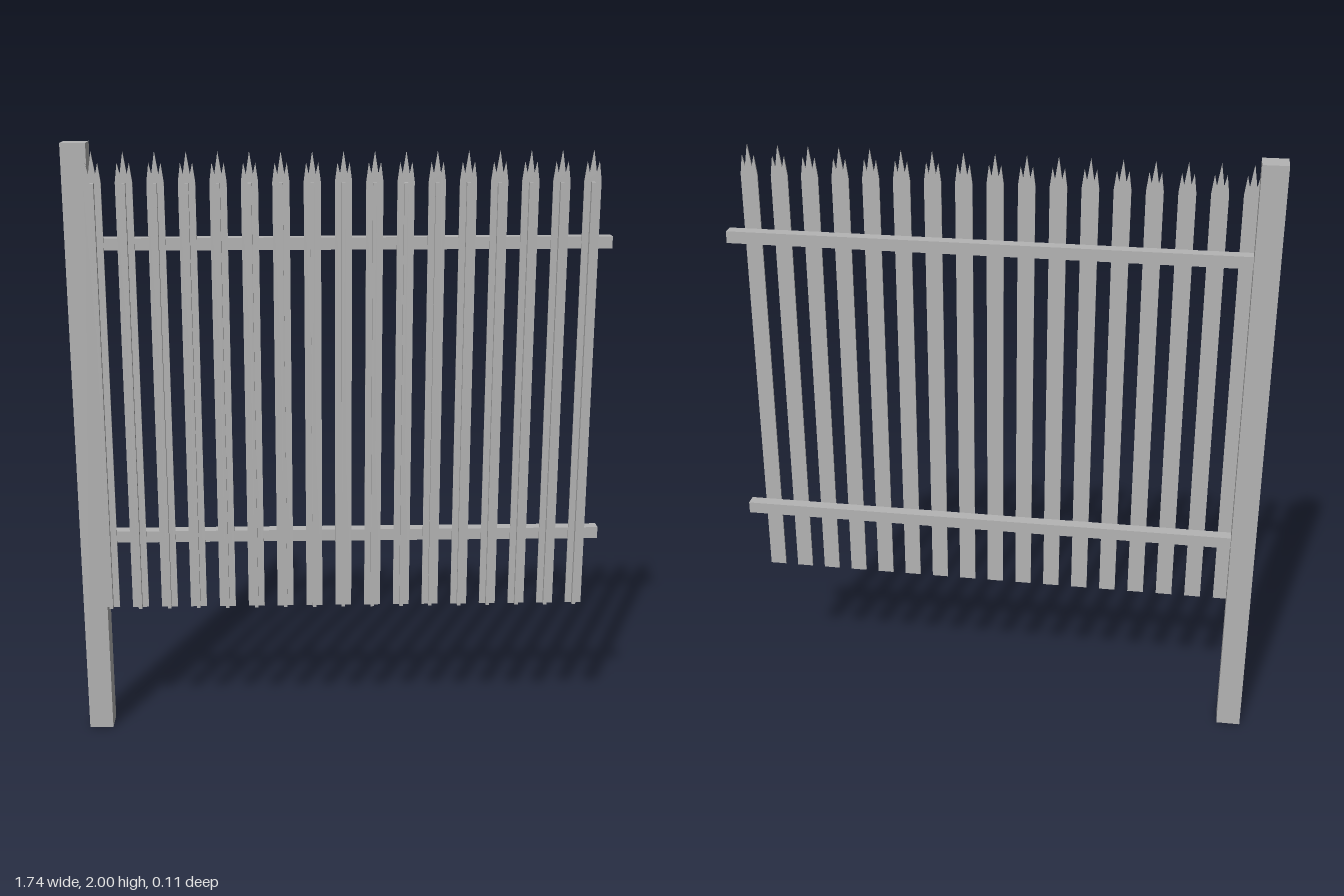
import * as THREE from 'three';

const steel = new THREE.MeshStandardMaterial({ color: 0xb4b4b4 });
steel.name = 'galvanised grey';

// Box given by its minimum and maximum corners
function slab(name, [x0, y0, z0], [x1, y1, z1]) {
  const mesh = new THREE.Mesh(new THREE.BoxGeometry(x1 - x0, y1 - y0, z1 - z0), steel);
  mesh.position.set((x0 + x1) / 2, (y0 + y1) / 2, (z0 + z1) / 2);
  mesh.name = name;
  return mesh;
}

// Flat pale outline ending in three points, the middle one tallest
function paleGeometry() {
  const half = [[0.027, 0.456], [0.027, 1.88], [0.019, 1.94], [0.011, 1.905]];
  const outline = [
    ...half,
    [0, 1.975],
    ...half.map(([x, y]) => [-x, y]).reverse(),
  ].map(([x, y]) => new THREE.Vector2(x, y));
  const geometry = new THREE.ExtrudeGeometry(new THREE.Shape(outline), { depth: 0.006, bevelEnabled: false });
  return geometry.translate(0, 0, 0.034);
}

export function createModel() {
  const fence = new THREE.Group();
  fence.name = 'palisadeFence';

  // Post at one end, standing on the ground
  fence.add(slab('post', [-0.87, 0, -0.056], [-0.79, 2, 0.026]));

  // Two horizontal rails
  fence.add(slab('lowerRail', [-0.79, 0.683, -0.014], [0.87, 0.722, 0.026]));
  fence.add(slab('upperRail', [-0.79, 1.665, -0.014], [0.87, 1.704, 0.026]));

  // Row of pales, each stiffened by a rib down the front
  const plate = paleGeometry();
  for (let i = 0; i < 17; i++) {
    const pale = new THREE.Group();
    pale.name = 'pale' + (i + 1);
    const blade = new THREE.Mesh(plate, steel);
    blade.name = 'paleBlade';
    pale.add(blade, slab('paleRib', [-0.006, 0.456, 0.04], [0.006, 1.878, 0.057]));
    pale.position.x = -0.773 + i * 0.098;
    fence.add(pale);
  }
  return fence;
}
